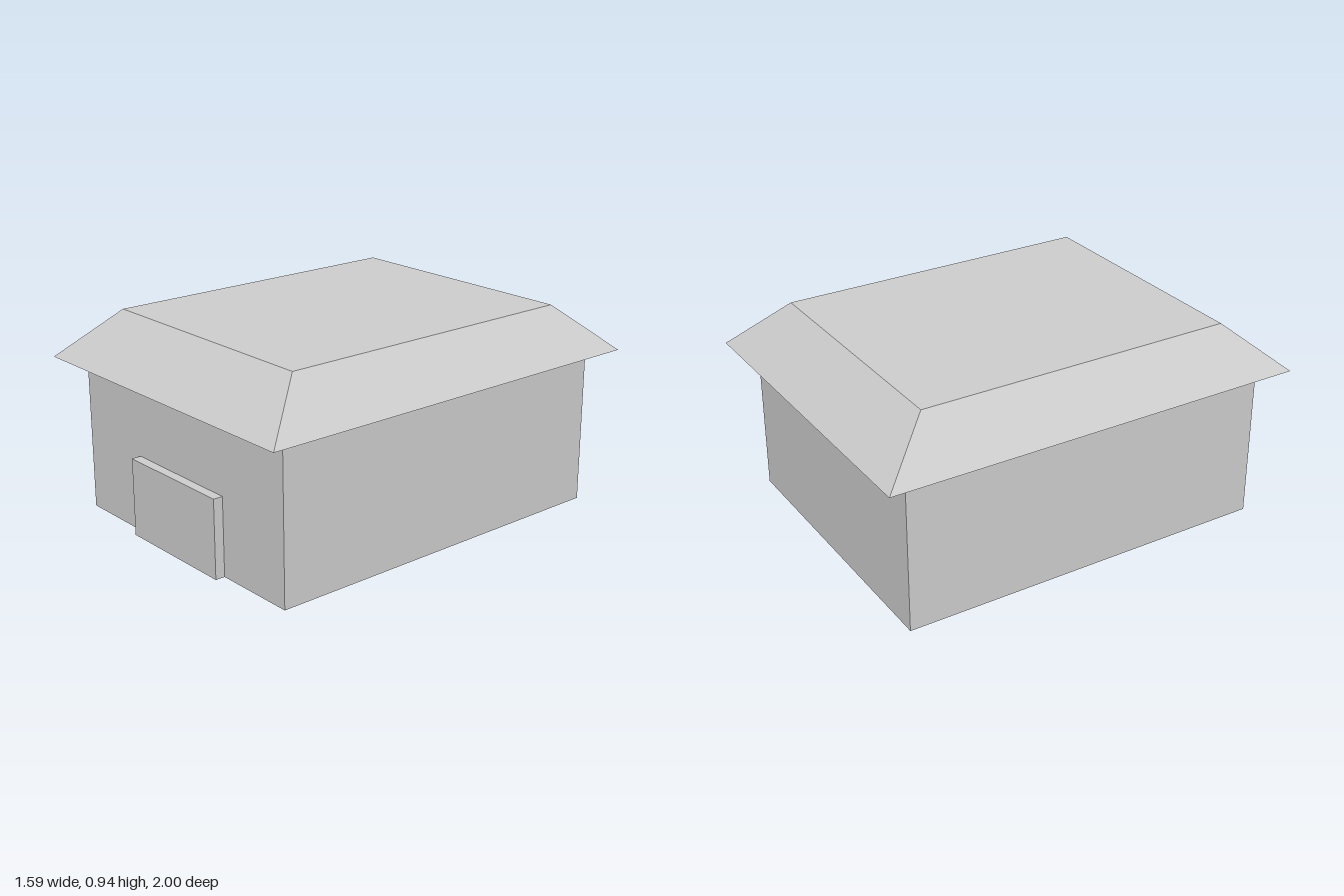
import * as THREE from 'three';

const material = new THREE.MeshStandardMaterial({ color: 0xcccccc, flatShading: true });

// Box standing on height y, centred on x
function block(name, width, height, depth, y, z) {
  const mesh = new THREE.Mesh(new THREE.BoxGeometry(width, height, depth), material);
  mesh.name = name;
  mesh.position.set(0, y + height / 2, z);
  return mesh;
}

// Box whose top face is drawn in to form a flat-topped hipped roof
function hippedRoof(width, height, depth, topWidth, topDepth, y) {
  const roof = block('roof', width, height, depth, y, 0);
  const pos = roof.geometry.attributes.position;
  for (let i = 0; i < pos.count; i++) {
    if (pos.getY(i) > 0) {
      pos.setX(i, Math.sign(pos.getX(i)) * topWidth / 2);
      pos.setZ(i, Math.sign(pos.getZ(i)) * topDepth / 2);
    }
  }
  roof.geometry.computeVertexNormals();
  return roof;
}

export function createModel() {
  const house = new THREE.Group();
  house.name = 'house';
  house.add(
    block('walls', 1.4, 0.727, 1.765, 0, 0),
    block('door', 0.6, 0.363, 0.045, 0, 0.905),
    hippedRoof(1.586, 0.217, 2, 1.196, 1.497, 0.727),
  );
  return house;
}
